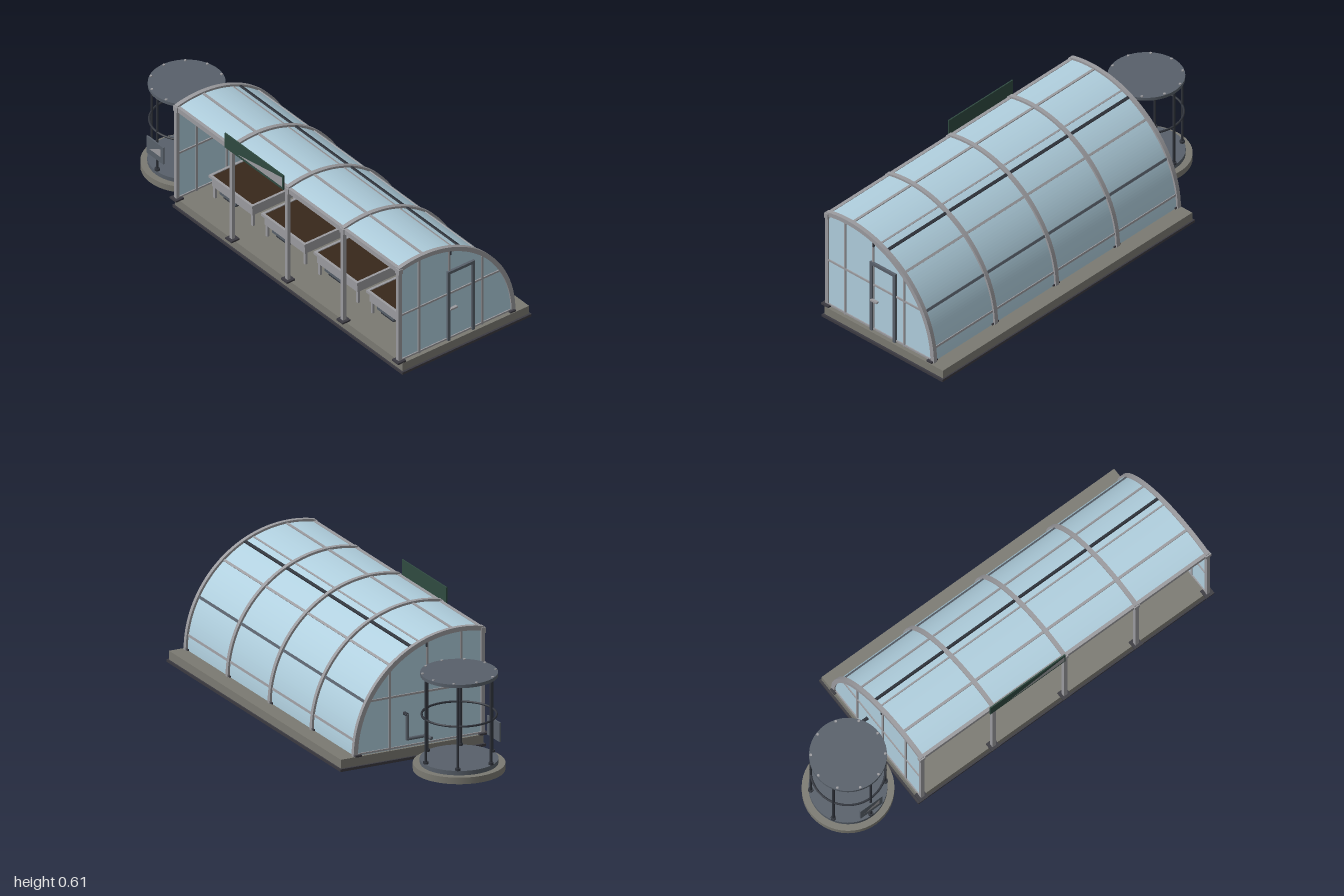
import * as THREE from 'three';

const mat = (name, color, side = THREE.FrontSide) => {
  const m = new THREE.MeshStandardMaterial({ color, side });
  m.name = name;
  return m;
};

export function createModel() {
  const root = new THREE.Group();
  root.name = 'greenhouse';
  const M = {
    glass: mat('pale blue glass', 0xb0cfde, THREE.DoubleSide),
    metal: mat('aluminium', 0x9b9b9f),
    slate: mat('slate metal', 0x58606a),
    dark: mat('dark metal', 0x30343c),
    plinth: mat('dark footing', 0x3b3a41),
    stone: mat('stone', 0x7b7a72),
    soil: mat('soil', 0x38281b),
    green: mat('dark green', 0x2f4a40),
  };
  const add = (name, geo, m, x = 0, y = 0, z = 0, parent = root) => {
    const mesh = new THREE.Mesh(geo, m);
    mesh.name = name;
    mesh.position.set(x, y, z);
    parent.add(mesh);
    return mesh;
  };
  // box given by its limits on each axis
  const box = (name, m, x0, x1, y0, y1, z0, z1, parent) =>
    add(name, new THREE.BoxGeometry(x1 - x0, y1 - y0, z1 - z0), m, (x0 + x1) / 2, (y0 + y1) / 2, (z0 + z1) / 2, parent);
  const cyl = (name, m, r, y0, y1, x, z, seg = 12, parent = root) =>
    add(name, new THREE.CylinderGeometry(r, r, y1 - y0, seg), m, x, (y0 + y1) / 2, z, parent);
  const pipe = (name, m, r, pts) => {
    const path = new THREE.CurvePath();
    const v = pts.map(p => new THREE.Vector3(...p));
    for (let i = 1; i < v.length; i++) {
      const geo = new THREE.CylinderGeometry(r, r, v[i].distanceTo(v[i - 1]) + r, 8);
      const mesh = add(name, geo, m);
      mesh.position.copy(v[i]).add(v[i - 1]).multiplyScalar(0.5);
      mesh.quaternion.setFromUnitVectors(new THREE.Vector3(0, 1, 0), v[i].clone().sub(v[i - 1]).normalize());
    }
  };

  // vault: circular profile about (z, y) = (CZ, CY)
  const CZ = 0.22, CY = 0.05;
  const extrudeX = (name, shape, m, x0, x1) => {
    const geo = new THREE.ExtrudeGeometry(shape, { depth: x1 - x0, bevelEnabled: false, curveSegments: 36 });
    geo.rotateY(Math.PI / 2);
    return add(name, geo, m, x0);
  };
  const band = (r0, r1, zFront) => {
    const a0 = Math.acos((CZ - zFront) / r0), a1 = Math.acos((CZ - zFront) / r1);
    const s = new THREE.Shape();
    s.absarc(-CZ, CY, r1, 0, a1, false);
    s.absarc(-CZ, CY, r0, a0, 0, true);
    s.closePath();
    return s;
  };
  const arcY = (z, r) => CY + Math.sqrt(r * r - (z - CZ) ** 2);

  // base
  box('footing', M.plinth, -0.6, 1, 0, 0.012, -0.362, 0.347);
  box('baseSlab', M.stone, -0.59, 0.99, 0.012, 0.052, -0.355, 0.34);

  // curved glass, ribs, front posts and feet
  extrudeX('roofGlass', band(0.497, 0.501, 0.34), M.glass, -0.575, 0.965);
  for (let i = 0; i < 5; i++) {
    const x = -0.577 + i * 0.386;
    extrudeX('rib', band(0.49, 0.511, 0.345), M.metal, x - 0.01, x + 0.01);
    box('frontPost', M.metal, x - 0.009, x + 0.009, 0.052, 0.52, 0.332, 0.349);
    box('postCap', M.metal, x - 0.014, x + 0.014, 0.515, 0.54, 0.33, 0.351);
    box('frontFoot', M.plinth, x - 0.022, x + 0.022, 0.052, 0.06, 0.318, 0.362);
    box('backFoot', M.plinth, x - 0.02, x + 0.02, 0.052, 0.06, -0.286, -0.256);
  }
  box('frontBeam', M.metal, -0.585, 0.975, 0.517, 0.541, 0.33, 0.346);

  // lengthwise purlins following the curve
  const purlin = (name, m, deg, w, h) => {
    const a = THREE.MathUtils.degToRad(deg), r = 0.499;
    const p = add(name, new THREE.BoxGeometry(1.54, h, w), m, 0.195, CY + r * Math.sin(a), CZ - r * Math.cos(a));
    p.rotation.x = a - Math.PI / 2;
  };
  purlin('lowPurlin', M.metal, 8, 0.01, 0.012);
  purlin('lowerPurlin', M.slate, 28, 0.012, 0.014);
  purlin('middlePurlin', M.metal, 50, 0.011, 0.012);
  purlin('ventBar', M.dark, 64, 0.013, 0.018);
  purlin('upperPurlin', M.metal, 69, 0.008, 0.009);
  purlin('ridgePurlin', M.metal, 88, 0.012, 0.012);

  // glazed end walls with glazing bars
  const wall = new THREE.Shape();
  wall.moveTo(-0.335, 0.052);
  wall.lineTo(-CZ + 0.494, 0.052);
  wall.absarc(-CZ, CY, 0.494, 0.004, Math.acos(-0.115 / 0.494), false);
  wall.closePath();
  for (const [x, s] of [[-0.577, -1], [0.967, 1]]) {
    extrudeX('endGlass', wall, M.glass, x - 0.003, x + 0.003);
    for (const z of [0.235, 0.07, -0.112])
      box('endMullion', M.metal, x - 0.008, x + 0.008, 0.052, arcY(z, 0.492), z - 0.005, z + 0.005);
    box('endRail', M.metal, x - 0.008, x + 0.008, 0.289, 0.298, -0.205, 0.335);
    box('endBottomRail', M.metal, x - 0.008, x + 0.008, 0.056, 0.064, -0.265, 0.335);
    box('ventStop', M.dark, x + s * 0.004 - 0.008, x + s * 0.004 + 0.008, 0.497, 0.517, 0.063, 0.068);
  }

  // door in the left end
  const door = new THREE.Group();
  door.name = 'door';
  root.add(door);
  box('doorJamb', M.slate, 0.964, 0.982, 0.052, 0.414, 0.069, 0.083, door);
  box('doorJamb', M.slate, 0.964, 0.982, 0.052, 0.414, -0.066, -0.052, door);
  box('doorHead', M.slate, 0.964, 0.982, 0.4, 0.414, -0.066, 0.083, door);
  box('doorHandle', M.metal, 0.976, 0.99, 0.213, 0.221, 0.035, 0.073, door);

  // sign above the front
  box('signBoard', M.green, -0.22, 0.187, 0.53, 0.605, 0.354, 0.36);
  const wedge = (name, x0, x1, y0, y1, z) => {
    const s = new THREE.Shape([[x0, y0], [x1, y0], [x1, y1]].map(p => new THREE.Vector2(...p)));
    add(name, new THREE.ShapeGeometry(s), M.metal, 0, 0, z);
  };
  wedge('signPanel', -0.13, 0.18, 0.543, 0.593, 0.3612);

  // planting benches
  for (let i = 0; i < 4; i++) {
    const b = new THREE.Group();
    b.name = 'bench';
    b.position.set(-0.35 + i * 0.365, 0, 0.09);
    root.add(b);
    box('tray', M.metal, -0.14, 0.14, 0.112, 0.16, -0.125, 0.125, b);
    for (const s of [-1, 1]) {
      box('trayLip', M.metal, -0.15, 0.15, 0.157, 0.17, s * 0.13 - 0.006, s * 0.13 + 0.006, b);
      box('trayLip', M.metal, s * 0.145 - 0.006, s * 0.145 + 0.006, 0.157, 0.17, -0.136, 0.136, b);
      for (const t of [-1, 1])
        box('benchLeg', M.metal, s * 0.132 - 0.006, s * 0.132 + 0.006, 0.052, 0.115, t * 0.115 - 0.006, t * 0.115 + 0.006, b);
    }
    box('soil', M.soil, -0.14, 0.14, 0.158, 0.166, -0.125, 0.125, b);
    box('storageBox', M.slate, -0.12, -0.005, 0.07, 0.098, 0, 0.1, b);
    box('storageStand', M.dark, -0.105, -0.02, 0.052, 0.07, 0.01, 0.09, b);
    cyl('waterDrop', M.dark, 0.004, 0.165, 0.21, 0, -0.13, 8, b);
  }

  // water pipe leaving through the right end wall
  pipe('waterPipe', M.dark, 0.008, [[0.905, 0.21, -0.04], [-0.605, 0.21, -0.04]]);
  pipe('outletPipe', M.slate, 0.008, [[-0.605, 0.21, -0.04], [-0.605, 0.1, -0.04], [-0.605, 0.1, 0.045], [-0.645, 0.1, 0.055]]);

  // round cage beside the house
  const cx = -0.8, cz = 0.11;
  cyl('cageBase', M.stone, 0.2, 0, 0.03, cx, cz, 48);
  cyl('cageFloor', M.slate, 0.17, 0.03, 0.05, cx, cz, 48);
  cyl('cageRoof', M.slate, 0.168, 0.428, 0.443, cx, cz, 48);
  for (let i = 0; i < 6; i++) {
    const a = Math.PI / 6 + i * Math.PI / 3;
    const x = cx + 0.162 * Math.cos(a), z = cz + 0.162 * Math.sin(a);
    cyl('cagePost', M.dark, 0.006, 0.05, 0.43, x, z, 8);
    cyl('cagePostFoot', M.dark, 0.012, 0.05, 0.06, x, z, 8);
  }
  for (let i = 0; i < 10; i++) {
    const a = i * Math.PI / 5;
    cyl('roofBolt', M.metal, 0.006, 0.443, 0.447, cx + 0.16 * Math.cos(a), cz + 0.16 * Math.sin(a), 8);
  }
  const ring = new THREE.TorusGeometry(0.162, 0.005, 8, 48).rotateX(Math.PI / 2);
  add('cageRing', ring, M.dark, cx, 0.25, cz);
  box('cagePanel', M.slate, -0.862, -0.745, 0.113, 0.2, 0.274, 0.282);
  wedge('cagePanelFace', -0.842, -0.762, 0.143, 0.185, 0.2832);

  return root;
}
